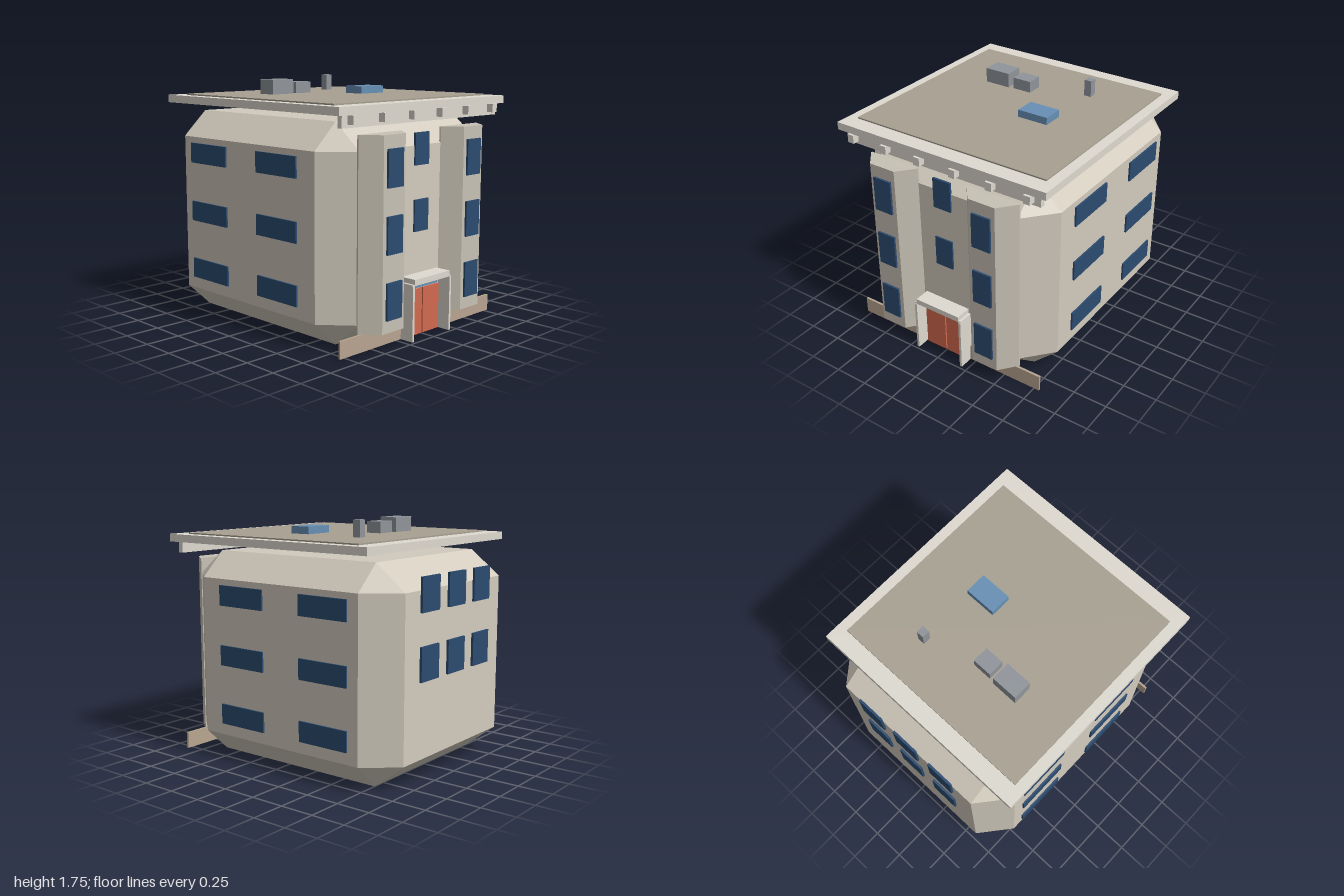
import * as THREE from 'three';

const mat = (color) => new THREE.MeshStandardMaterial({ color, flatShading: true });

export function createModel() {
  const model = new THREE.Group();
  const wall = mat(0xd2cbbe), bayWall = mat(0xc8c2b5), trim = mat(0xdedad0);
  const roofing = mat(0xa8a192), glass = mat(0x2c4c70), paleGlass = mat(0x6890b5);
  const stone = mat(0xb8a590), metal = mat(0x90959b), paint = mat(0xd2694f);

  const add = (name, geometry, material) => {
    const mesh = new THREE.Mesh(geometry, material);
    mesh.name = name;
    model.add(mesh);
    return mesh;
  };
  // Box given by its minimum and maximum on each axis
  const box = (name, material, x0, x1, y0, y1, z0, z1) =>
    add(name, new THREE.BoxGeometry(x1 - x0, y1 - y0, z1 - z0), material)
      .position.set((x0 + x1) / 2, (y0 + y1) / 2, (z0 + z1) / 2);

  // Main body: eight-sided block whose top and bottom taper to a rectangle
  const plan = [[-0.6, 0.86], [0.6, 0.86], [0.79, 0.64], [0.79, -0.75],
    [0.6, -0.98], [-0.6, -0.98], [-0.79, -0.75], [-0.79, 0.64]];
  const inset = plan.map(([x, z]) => [Math.sign(x) * 0.6, z > 0 ? 0.64 : -0.75]);
  const rings = [[inset, 0], [plan, 0.18], [plan, 1.32], [inset, 1.5]]
    .map(([ring, y]) => ring.map(([x, z]) => new THREE.Vector3(x, y, z)));
  const points = [];
  const tri = (a, b, c) => {
    if (!a.equals(b) && !b.equals(c) && !c.equals(a)) points.push(a, b, c);
  };
  for (let r = 0; r < 3; r++) {
    for (let i = 0; i < 8; i++) {
      const j = (i + 1) % 8, lo = rings[r], hi = rings[r + 1];
      tri(lo[i], lo[j], hi[j]);
      tri(lo[i], hi[j], hi[i]);
    }
  }
  const top = rings[3], base = rings[0];
  for (const [a, b, c] of [[0, 1, 4], [0, 4, 5]]) {
    tri(top[a], top[b], top[c]);
    tri(base[a], base[c], base[b]);
  }
  const bodyGeometry = new THREE.BufferGeometry().setFromPoints(points);
  bodyGeometry.computeVertexNormals();
  add('body', bodyGeometry, wall);

  // Plinth along the front
  box('plinth', stone, -0.79, 0.79, 0, 0.12, 0.858, 0.875);

  // Front bays with their windows
  const bayShape = new THREE.Shape([[-0.206, -0.85], [0.206, -0.85], [0.206, -0.86],
    [0.104, -0.985], [-0.104, -0.985], [-0.206, -0.86]].map(([x, y]) => new THREE.Vector2(x, y)));
  const bayGeometry = new THREE.ExtrudeGeometry(bayShape, { depth: 1.305, bevelEnabled: false });
  bayGeometry.rotateX(-Math.PI / 2);
  for (const x of [-0.41, 0.41]) {
    add('bay', bayGeometry, bayWall).position.set(x, 0.125, 0);
    for (const y of [0.339, 0.778, 1.215])
      box('bayWindow', glass, x - 0.073, x + 0.073, y - 0.126, y + 0.126, 0.98, 1);
  }

  // Windows between the bays
  for (const y of [0.838, 1.296])
    box('middleWindow', glass, -0.072, 0.072, y - 0.111, y + 0.111, 0.855, 0.872);

  // Side windows
  for (const [x0, x1] of [[-0.803, -0.785], [0.785, 0.803]])
    for (const z of [0.272, -0.462])
      for (const y of [0.338, 0.77, 1.203])
        box('sideWindow', glass, x0, x1, y - 0.073, y + 0.073, z - 0.202, z + 0.202);

  // Back windows
  for (const x of [-0.327, 0, 0.327])
    for (const y of [0.831, 1.292])
      box('backWindow', glass, x - 0.105, x + 0.105, y - 0.118, y + 0.118, -1, -0.983);

  // Entrance: surround, paired doors, transom, side walls and canopy
  box('doorSurround', trim, -0.186, 0.186, 0, 0.395, 0.855, 0.88);
  box('transom', paleGlass, -0.167, 0.167, 0.336, 0.395, 0.87, 0.89);
  for (const s of [-1, 1]) {
    box('door', paint, s * 0.0905 - 0.0855, s * 0.0905 + 0.0855, 0.004, 0.33, 0.87, 0.892);
    box('porchWall', trim, s * 0.195 - 0.009, s * 0.195 + 0.009, 0, 0.388, 0.858, 0.98);
  }
  box('canopyEdge', trim, -0.204, 0.204, 0.388, 0.398, 0.858, 0.975);
  box('canopy', trim, -0.185, 0.185, 0.398, 0.433, 0.858, 0.98);

  // Cornice under the roof edge
  box('frieze', trim, -0.795, 0.795, 1.483, 1.565, 0.852, 0.89);
  for (let i = 0; i < 6; i++) {
    const x = -0.72 + i * 0.288;
    box('corbel', trim, x - 0.025, x + 0.025, 1.505, 1.565, 0.858, 0.94);
  }

  // Flat roof with its covering
  box('roofSlab', trim, -0.85, 0.85, 1.565, 1.62, -0.862, 0.922);
  box('roofCovering', roofing, -0.773, 0.773, 1.615, 1.63, -0.738, 0.8);

  // Rooftop equipment
  box('largeRoofUnit', metal, -0.403, -0.205, 1.62, 1.736, -0.34, -0.2);
  box('smallRoofUnit', metal, -0.167, -0.024, 1.62, 1.713, -0.33, -0.21);
  box('chimney', metal, 0.324, 0.379, 1.62, 1.75, -0.452, -0.394);
  box('skylight', paleGlass, 0.133, 0.367, 1.62, 1.683, 0.013, 0.17);

  return model;
}
